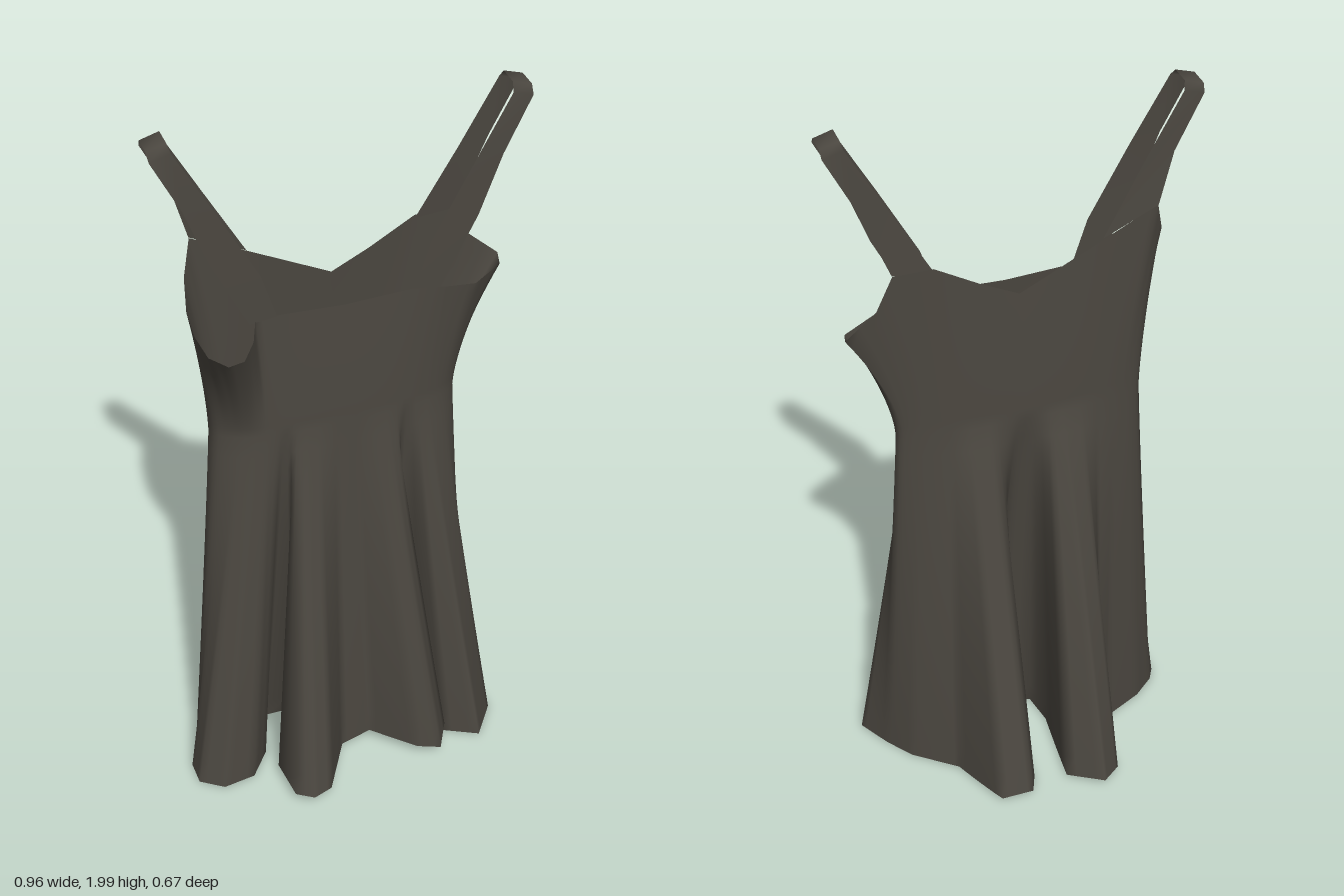
import * as THREE from 'three';

// Loop parameter a: 0 = right side seam, 1 = front middle, 2 = left side seam, 3 = back middle.

// Folded hem: [a, x, z]
const HEM = [
  [0, -0.43, 0.025], [0.1, -0.45, 0.06], [0.2, -0.45, 0.13], [0.3, -0.39, 0.175], [0.4, -0.3, 0.16],
  [0.475, -0.24, 0.08], [0.5, -0.22, 0], [0.525, -0.19, -0.06], [0.55, -0.12, -0.06], [0.575, -0.14, 0.06],
  [0.6, -0.235, 0.18], [0.65, -0.225, 0.3], [0.7, -0.18, 0.33], [0.8, -0.125, 0.31], [0.95, -0.04, 0.16],
  [1.1, 0.05, 0.135], [1.25, 0.155, 0.24], [1.35, 0.215, 0.265], [1.425, 0.26, 0.18], [1.475, 0.16, 0.07],
  [1.5, 0.11, -0.05], [1.525, 0.18, -0.06], [1.55, 0.215, 0], [1.575, 0.235, 0.06], [1.6, 0.26, 0.17],
  [1.7, 0.35, 0.22], [1.85, 0.42, 0.12], [2, 0.37, 0.03], [2.15, 0.32, -0.04], [2.4, 0.21, -0.13],
  [2.55, 0.14, -0.3], [2.7, 0.05, -0.3], [2.75, 0.025, -0.24], [2.8, 0.03, -0.16], [2.9, 0.085, -0.03],
  [2.95, 0.075, 0.06], [3, 0, 0.1], [3.05, -0.07, 0.06], [3.1, -0.085, -0.03], [3.2, -0.06, -0.27],
  [3.3, -0.15, -0.335], [3.45, -0.205, -0.29], [3.6, -0.205, -0.14], [3.75, -0.255, -0.08], [3.9, -0.37, -0.025],
  [4, -0.43, 0.025],
];

// Neckline and armholes: [a, x, y, z]
const RIM = [
  [0, -0.4, 1.52, 0.04], [0.05, -0.4, 1.49, 0.1], [0.125, -0.385, 1.465, 0.165], [0.2, -0.345, 1.452, 0.2],
  [0.275, -0.3, 1.448, 0.185], [0.35, -0.258, 1.455, 0.125], [0.4, -0.235, 1.48, 0.07], [0.5, -0.17, 1.48, 0.07],
  [1, 0, 1.472, 0.07], [1.6, 0.2, 1.48, 0.07], [1.8, 0.265, 1.465, 0.07], [1.9, 0.35, 1.45, 0.06],
  [2, 0.44, 1.452, 0], [2.05, 0.45, 1.46, -0.04], [2.1, 0.37, 1.53, -0.045], [2.2, 0.325, 1.62, -0.04],
  [2.35, 0.22, 1.62, -0.04], [2.7, 0.1, 1.55, -0.04], [3, 0, 1.5, -0.04], [3.3, -0.1, 1.55, -0.04],
  [3.65, -0.22, 1.61, -0.04], [3.85, -0.365, 1.68, -0.035], [3.925, -0.39, 1.59, -0.005], [4, -0.4, 1.52, 0.04],
];

function sample(table, a) {
  let i = 0;
  while (i < table.length - 2 && table[i + 1][0] <= a + 1e-6) i++;
  const p = table[i], q = table[i + 1];
  const t = (a - p[0]) / (q[0] - p[0]);
  return p.slice(1).map((v, k) => v + (q[k + 1] - v) * t);
}

// Slim, flattened section at the waist
function waist(a) {
  const s = a <= 2 ? a - 1 : 3 - a;
  const bulge = Math.sqrt(Math.max(0, 1 - Math.abs(s) ** 3));
  return [-0.012 + 0.333 * s, -0.003 + bulge * (a <= 2 ? 0.088 : -0.05)];
}

// Surface from a grid of points given by fn(column, row)
function gridSurface(cols, rows, fn, closed) {
  const pos = [], index = [];
  const n = closed ? cols : cols + 1;
  for (let j = 0; j <= rows; j++) for (let i = 0; i < n; i++) pos.push(...fn(i / cols, j / rows));
  for (let j = 0; j < rows; j++) {
    for (let i = 0; i < cols; i++) {
      const a = j * n + i, b = j * n + (i + 1) % n;
      index.push(a, b, b + n, a, b + n, a + n);
    }
  }
  const g = new THREE.BufferGeometry();
  g.setAttribute('position', new THREE.Float32BufferAttribute(pos, 3));
  g.setIndex(index);
  g.computeVertexNormals();
  return g;
}

const WAIST_Y = 1.12;

// Skirt flares from waist to hem, a little sooner at the back; the front panel is cut shorter
function skirtPoint(u, v) {
  const a = u * 4, [hx, hz] = sample(HEM, a), [wx, wz] = waist(a);
  const hemY = a > 0.56 && a < 1.49 ? 0.05 : 0.01 + 0.02 * Math.min(1, Math.abs(hz) / 0.33) ** 3;
  const back = a > 2 ? Math.sin((a - 2) * Math.PI / 2) : 0;
  const f = (1 - v) ** (1.08 - 0.16 * back);
  return [wx + (hx - wx) * f, hemY + (WAIST_Y - hemY) * v, wz + (hz - wz) * f];
}

// Bodice opens from waist to neckline
function bodicePoint(u, v) {
  const a = u * 4, [tx, ty, tz] = sample(RIM, a), [wx, wz] = waist(a);
  const f = v ** 1.5;
  return [wx + (tx - wx) * f, WAIST_Y + (ty - WAIST_Y) * v, wz + (tz - wz) * f];
}

// Skirt and bodice share one grid so shading runs on without a seam
function dressPoint(u, v) {
  return v <= 0.6 ? skirtPoint(u, v / 0.6) : bodicePoint(u, (v - 0.6) / 0.4);
}

// Strap stations from front to back: [outer x, outer y, inner x, inner y, z]
const STRAP = [
  [0.25, 1.47, 0.18, 1.478, 0.071], [0.345, 1.66, 0.22, 1.605, 0.07], [0.405, 1.82, 0.325, 1.8, 0.068],
  [0.478, 1.965, 0.425, 1.98, 0.063], [0.48, 1.985, 0.43, 2, 0.045], [0.48, 1.985, 0.43, 2, -0.012],
  [0.478, 1.965, 0.425, 1.98, -0.025], [0.405, 1.82, 0.325, 1.8, -0.028],
];

// The strap ends on the back neckline at the given outer corner
function strapGeometry(side, backX, backY) {
  const stations = [...STRAP, [backX, backY, 0.22, 1.612, -0.038]];
  return gridSurface(1, stations.length - 1, (u, v) => {
    const [ox, oy, ix, iy, z] = stations[Math.round(v * (stations.length - 1))];
    const t = side > 0 ? u : 1 - u;
    return [side * (ix + (ox - ix) * t), iy + (oy - iy) * t, z];
  }, false);
}

export function createModel() {
  const model = new THREE.Group();
  model.name = 'dress';
  const cloth = new THREE.MeshStandardMaterial({ color: 0x4b4740, side: THREE.DoubleSide });
  cloth.name = 'charcoal cloth';

  const add = (name, geometry) => {
    const mesh = new THREE.Mesh(geometry, cloth);
    mesh.name = name;
    model.add(mesh);
  };
  add('dressBody', gridSurface(160, 30, dressPoint, true));
  add('leftStrap', strapGeometry(1, 0.325, 1.62));
  add('rightStrap', strapGeometry(-1, 0.365, 1.68));
  return model;
}
